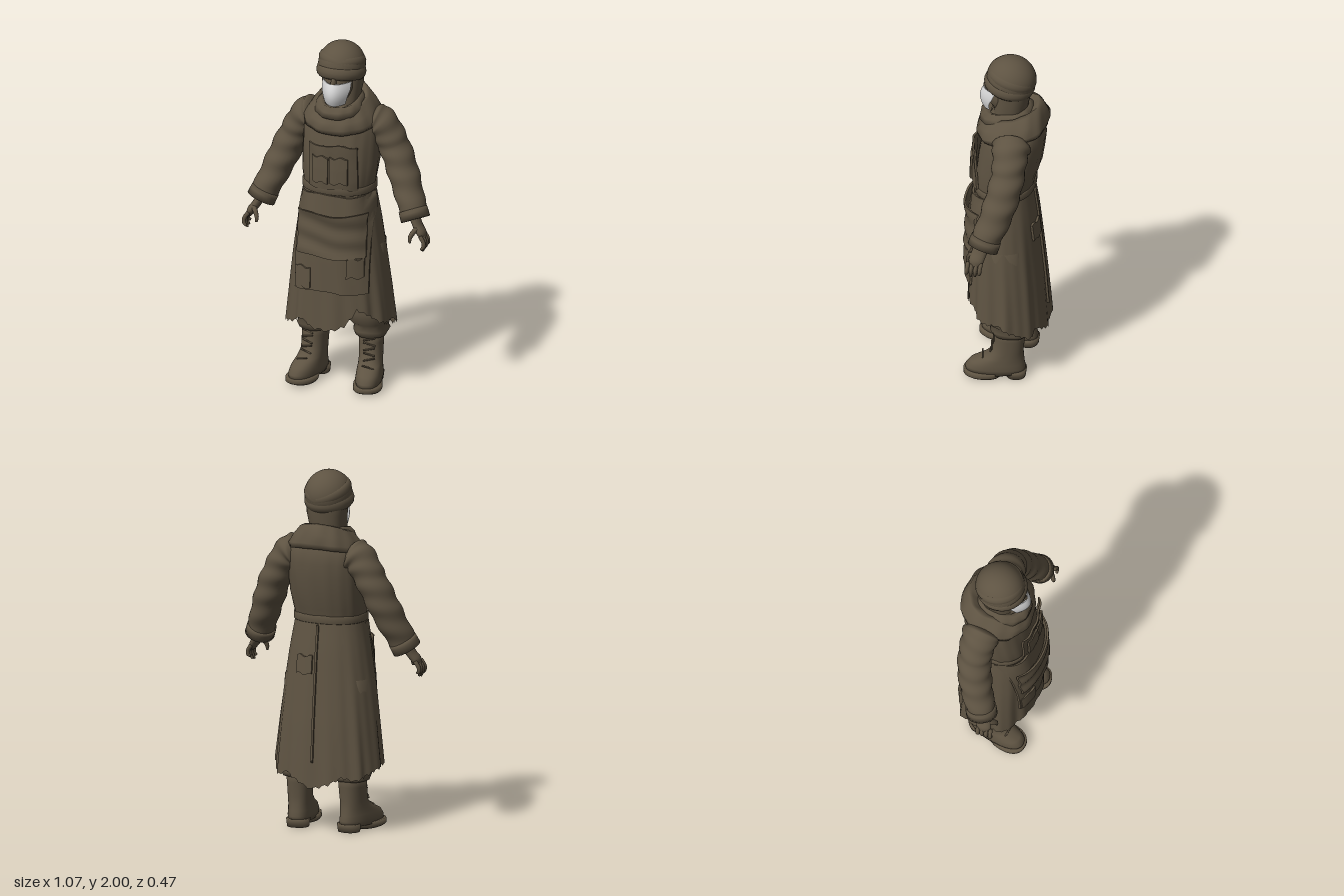
import * as THREE from 'three';

const N = 2.3; // roundness of the body cross-sections
const V = (x, y, z) => new THREE.Vector3(x, y, z);
const spow = (v, p) => Math.sign(v) * Math.abs(v) ** p;
const lerp = THREE.MathUtils.lerp;

// Skin closed rings of points into one smooth surface, optionally capped
function skin(rings, cap = false) {
  if (cap) {
    const mid = r => r.reduce((s, p) => s.add(p), V(0, 0, 0)).divideScalar(r.length);
    const a = mid(rings[0]), b = mid(rings[rings.length - 1]);
    rings = [rings[0].map(() => a), ...rings, rings[0].map(() => b)];
  }
  const n = rings[0].length, idx = [];
  for (let i = 0; i < rings.length - 1; i++) {
    for (let j = 0; j < n; j++) {
      const k = (j + 1) % n, a = i * n + j, b = i * n + k;
      idx.push(a, b, b + n, a, b + n, a + n);
    }
  }
  const g = new THREE.BufferGeometry().setFromPoints(rings.flat());
  g.setIndex(idx);
  g.computeVertexNormals();
  return g;
}

// Ring of [yFront, yBack, halfWidth, zFront, zBack]; angle 0 faces the front
function ring([yf, yb, rx, zf, zb], fold = () => 1, seg = 64) {
  return Array.from({ length: seg }, (_, j) => {
    const a = j / seg * Math.PI * 2, s = fold(a);
    const c = spow(Math.cos(a), 2 / N);
    return V(rx * s * spow(Math.sin(a), 2 / N), lerp(yb, yf, (Math.cos(a) + 1) / 2),
      (zf + zb) / 2 + (zf - zb) / 2 * c * s);
  });
}
const loft = (rows, cap, fold) => skin(rows.map((r, i) => ring(r, fold && (a => fold(a, i)))), cap);

// Limb along a smooth path, with radii spread over its length
function sweep(path, radii, { wide = 1, wrinkle = 0, rows = 16, seg = 16 } = {}) {
  const curve = new THREE.CatmullRomCurve3(path.map(p => V(...p)));
  return skin(Array.from({ length: rows + 1 }, (_, i) => {
    const t = i / rows, p = curve.getPoint(t), T = curve.getTangent(t);
    const u = V().crossVectors(T, V(0, 0, 1)).normalize(), v = V().crossVectors(T, u);
    const f = t * (radii.length - 1), k = Math.min(Math.floor(f), radii.length - 2);
    const r = lerp(radii[k], radii[k + 1], f - k);
    return Array.from({ length: seg }, (_, j) => {
      const a = j / seg * Math.PI * 2, s = r * (1 + wrinkle * Math.sin(t * 38 + 2.2 * Math.sin(a + 1)));
      return p.clone().addScaledVector(u, s * Math.cos(a)).addScaledVector(v, s * wide * Math.sin(a));
    });
  }), true);
}

// Coat outline: [y, halfWidth, zFront, zBack]
const BODY = [[0.24, 0.315, 0.215, -0.235], [0.4, 0.3, 0.21, -0.225], [0.6, 0.28, 0.203, -0.21],
  [0.8, 0.257, 0.197, -0.19], [1.0, 0.228, 0.185, -0.17], [1.18, 0.195, 0.165, -0.145],
  [1.24, 0.205, 0.168, -0.16], [1.32, 0.212, 0.162, -0.185], [1.42, 0.215, 0.15, -0.2],
  [1.5, 0.215, 0.135, -0.21], [1.57, 0.205, 0.12, -0.205], [1.63, 0.15, 0.09, -0.18], [1.67, 0.09, 0.06, -0.14]];
function bodyAt(y) {
  const i = THREE.MathUtils.clamp(BODY.findIndex(r => r[0] >= y), 1, BODY.length - 1);
  const t = (y - BODY[i - 1][0]) / (BODY[i][0] - BODY[i - 1][0]);
  return BODY[i].map((v, k) => lerp(BODY[i - 1][k], v, t));
}

// Cloth panel laid over the coat; lift(u, v) raises it off the surface
function panel(x0, x1, y0, y1, lift, back = false) {
  const g = new THREE.BoxGeometry(1, 1, 0.012, 20, 14, 1), p = g.attributes.position;
  for (let i = 0; i < p.count; i++) {
    const u = p.getX(i) + 0.5, v = p.getY(i) + 0.5, x = lerp(x0, x1, u);
    const y = lerp(y0, y1, v) + 0.006 * Math.sin(u * 9 + y0 * 7);
    const [, rx, zf, zb] = bodyAt(y), c = (zf + zb) / 2;
    const h = (zf - zb) / 2 * Math.max(0, 1 - Math.abs(x / rx) ** N) ** (1 / N);
    p.setXYZ(i, back ? -x : x, y, c + (back ? -1 : 1) * (h + lift(u, v) + p.getZ(i)));
  }
  // turned half way round, so the corner order stays right
  g.computeVertexNormals();
  return g;
}

// Hem height by angle, from the front round by the left side
const HEM = [0.37, 0.4, 0.5, 0.47, 0.42, 0.4, 0.4, 0.36, 0.33, 0.3, 0.33, 0.29, 0.25,
  0.28, 0.32, 0.3, 0.32, 0.34, 0.36, 0.36, 0.36, 0.38, 0.42, 0.37];
function skirt() {
  const seg = 120, rows = 16;
  return skin(Array.from({ length: rows + 1 }, (_, i) => Array.from({ length: seg }, (_, j) => {
    const t = i / rows, a = j / seg * Math.PI * 2, f = j / seg * HEM.length, k = Math.floor(f);
    const hem = lerp(HEM[k], HEM[(k + 1) % HEM.length], f - k) + 0.008 * Math.sin(j * 2.1);
    const y = lerp(hem, 1.18, t), [, rx, zf, zb] = bodyAt(y);
    const s = 1 + (1 - t) * (0.022 * Math.sin(a * 11 + 1) + 0.014 * Math.sin(a * 19 + 2 * t));
    return V(rx * s * spow(Math.sin(a), 2 / N), y, (zf + zb) / 2 + (zf - zb) / 2 * s * spow(Math.cos(a), 2 / N));
  })));
}

export function createModel() {
  const cloth = new THREE.MeshStandardMaterial({ color: 0x5e5342, side: THREE.DoubleSide });
  cloth.name = 'drab brown';
  const white = new THREE.MeshStandardMaterial({ color: 0xd6d6d6, side: THREE.DoubleSide });
  white.name = 'mask white';
  const model = new THREE.Group();
  const add = (name, geo, parent = model, mat = cloth) => {
    const m = new THREE.Mesh(geo, mat);
    m.name = name;
    parent.add(m);
    return m;
  };

  // Coat
  add('coatSkirt', skirt());
  add('coatTorso', loft(BODY.slice(5).map(([y, ...r]) => [y, y, ...r]), false,
    (a, i) => 1 + (i < 5 ? 0.012 * Math.sin(a * 9 + i) + 0.008 * Math.sin(a * 17) : 0)));
  add('belt', loft([[1.16, 1.16, 0.199, 0.17, -0.15], [1.165, 1.165, 0.206, 0.178, -0.157],
    [1.2, 1.2, 0.206, 0.18, -0.158], [1.205, 1.205, 0.198, 0.172, -0.15]]));
  add('backSeam', panel(-0.006, 0.006, 0.4, 1.15, () => 0.004, true));
  add('backPocket', panel(-0.12, -0.02, 0.88, 0.98, () => 0.008, true));

  // Apron with bib, pouch and patches
  add('apron', panel(-0.205, 0.22, 0.6, 1.16, (u, v) => 0.016 + 0.004 * Math.sin(u * 20 + v * 5)));
  add('apronPouch', panel(-0.19, 0.205, 0.81, 1.06, (u, v) => 0.03 + 0.018 * v ** 4 + 0.006 * Math.sin(v * 13 + u * 3)));
  add('patchRight', panel(-0.2, -0.1, 0.61, 0.73, () => 0.024));
  add('patchLeft', panel(0.11, 0.2, 0.7, 0.81, () => 0.03));
  add('bib', panel(-0.125, 0.15, 1.2, 1.455, (u, v) => 0.014 + 0.026 * v ** 2 + 0.004 * Math.sin(u * 16 + v * 6)));
  add('bibPocketRight', panel(-0.1, -0.005, 1.24, 1.39, (u, v) => 0.03 + 0.008 * v));
  add('bibPocketLeft', panel(0.005, 0.105, 1.24, 1.39, (u, v) => 0.03 + 0.008 * v));

  // Cowl, scarf and head wrap
  const crease = (a, i) => 1 + 0.025 * Math.sin(a * 5 + i * 1.3) + 0.012 * Math.sin(a * 11 - i);
  add('cowl', loft([[1.53, 1.6, 0.185, 0.12, -0.2], [1.51, 1.59, 0.205, 0.155, -0.225],
    [1.54, 1.62, 0.205, 0.168, -0.232], [1.575, 1.67, 0.175, 0.155, -0.215], [1.61, 1.72, 0.14, 0.13, -0.195],
    [1.62, 1.725, 0.125, 0.115, -0.175], [1.6, 1.66, 0.1, 0.09, -0.12]], false, crease));
  add('scarf', loft([[1.58, 1.62, 0.12, 0.11, -0.13], [1.6, 1.66, 0.135, 0.15, -0.15],
    [1.635, 1.69, 0.125, 0.148, -0.14], [1.66, 1.71, 0.105, 0.12, -0.115], [1.65, 1.7, 0.085, 0.09, -0.09]], false, crease));
  add('neckWrap', loft([[1.6, 1.6, 0.09, 0.08, -0.1], [1.68, 1.68, 0.1, 0.07, -0.11],
    [1.76, 1.76, 0.112, 0.055, -0.13], [1.86, 1.83, 0.118, 0.06, -0.135]], false, (a, i) => 1 + 0.03 * Math.sin(a * 6 + i * 2)));

  const turban = new THREE.Group();
  turban.name = 'turban';
  turban.position.set(0, 1.868, -0.022);
  turban.rotation.x = -0.3;
  model.add(turban);
  add('turbanDome', new THREE.SphereGeometry(1, 40, 24, 0, Math.PI * 2, 0, Math.PI * 0.62), turban).scale.set(0.13, 0.13, 0.138);
  [[-0.035, 0.1, 0, 0.026], [0.005, 0, 0.22, 0.022], [0.012, 0, -0.24, 0.022]].forEach(([y, rx, rz, r], i) => {
    const band = add('turbanBand' + (i + 1), new THREE.TorusGeometry(0.111, r, 10, 48).rotateX(Math.PI / 2).scale(1, 1.5, 1.04), turban);
    band.position.y = y;
    band.rotation.set(rx, 0, rz);
  });

  // Face
  const blob = (name, p, s) => {
    const m = add(name, new THREE.SphereGeometry(1, 24, 16));
    m.position.set(...p);
    m.scale.set(...s);
  };
  blob('face', [0, 1.775, 0.01], [0.085, 0.125, 0.105]);
  blob('nose', [0, 1.8, 0.115], [0.016, 0.035, 0.02]);
  for (const s of [-1, 1]) {
    blob('eye', [s * 0.035, 1.825, 0.094], [0.02, 0.012, 0.012]);
    blob('brow', [s * 0.036, 1.85, 0.094], [0.034, 0.011, 0.016]);
  }

  // Mask bowed around the face, narrower at the chin
  const mask = new THREE.BoxGeometry(0.164, 0.115, 0.006, 20, 12, 1), mp = mask.attributes.position;
  for (let i = 0; i < mp.count; i++) {
    const v = mp.getY(i) / 0.115 + 0.5, x = mp.getX(i) * (0.72 + 0.28 * Math.min(1, v * 1.6));
    const y = 1.685 + v * 0.115 - (1 - (x / 0.082) ** 2) * 0.015 * (1 - v);
    mp.setXYZ(i, x, y, 0.118 + 0.033 * Math.sin(Math.PI * (0.12 + 0.75 * v)) - 11.5 * x * x + mp.getZ(i));
  }
  mask.computeVertexNormals();
  add('mask', mask, model, white);

  // Arms, hands, legs and boots; the right side mirrors the left
  for (const side of [1, -1]) {
    const limbs = new THREE.Group();
    limbs.name = side > 0 ? 'leftLimbs' : 'rightLimbs';
    limbs.scale.x = side;
    model.add(limbs);
    add('sleeve', sweep([[0.15, 1.55, -0.06], [0.215, 1.52, -0.065], [0.29, 1.4, -0.065], [0.365, 1.23, -0.03], [0.445, 1.04, 0.035]],
      [0.06, 0.1, 0.093, 0.087, 0.085, 0.086, 0.084, 0.078, 0.074], { wide: 1.08, wrinkle: 0.045, rows: 48, seg: 28 }), limbs);
    add('cuff', sweep([[0.428, 1.08, 0.022], [0.45, 1.028, 0.038]], [0.079, 0.081], { wide: 1.08, rows: 2, seg: 28 }), limbs);
    add('palm', sweep([[0.44, 1.06, 0.04], [0.47, 1.0, 0.055], [0.495, 0.965, 0.066], [0.508, 0.935, 0.07]],
      [0.026, 0.024, 0.024, 0.014], { wide: 1.75 }), limbs);
    for (let k = 0; k < 4; k++) {
      const z = 0.036 + k * 0.024, low = [0.895, 0.875, 0.87, 0.885][k];
      add('finger', sweep([[0.5, 0.96, z], [0.522, 0.925, z + 0.003], [0.521, 0.9, z + 0.005], [0.508, low, z + 0.008]],
        [0.012, 0.012, 0.011, 0.007], { rows: 8, seg: 8 }), limbs);
    }
    add('thumb', sweep([[0.475, 0.995, 0.085], [0.455, 0.97, 0.11], [0.445, 0.945, 0.12], [0.446, 0.92, 0.123]],
      [0.015, 0.014, 0.012, 0.007], { rows: 8, seg: 8 }), limbs);

    const trousers = add('trouserLeg', loft([[0.29, 0.29, 0.065, 0.03, -0.13], [0.285, 0.285, 0.085, 0.045, -0.145],
      [0.32, 0.31, 0.098, 0.06, -0.152], [0.345, 0.34, 0.088, 0.05, -0.14], [0.37, 0.37, 0.108, 0.075, -0.152],
      [0.44, 0.44, 0.112, 0.1, -0.15], [0.6, 0.6, 0.1, 0.09, -0.14], [0.85, 0.85, 0.09, 0.09, -0.12]], true,
    (a, i) => 1 + 0.03 * Math.sin(a * 5 + i * 2)), limbs);
    trousers.position.x = 0.162;

    const boot = new THREE.Group();
    boot.name = 'boot';
    boot.position.set(0.172, 0, 0);
    boot.rotation.y = 0.2;
    limbs.add(boot);
    add('bootUpper', loft([[0.03, 0.03, 0.07, 0.19, -0.135], [0.065, 0.06, 0.074, 0.193, -0.138], [0.1, 0.09, 0.07, 0.165, -0.132],
      [0.128, 0.13, 0.066, 0.1, -0.128], [0.16, 0.17, 0.065, 0.05, -0.126], [0.25, 0.25, 0.068, 0.034, -0.134],
      [0.315, 0.315, 0.073, 0.035, -0.14]], true), boot);
    add('soleFront', loft([[0.012, 0, 0.072, 0.19, 0.0], [0.02, 0.01, 0.079, 0.203, -0.01], [0.045, 0.04, 0.079, 0.203, -0.03]], true), boot);
    add('heel', loft([[0, 0, 0.06, -0.03, -0.138], [0.045, 0.045, 0.066, -0.02, -0.144]], true), boot);
    add('bootRim', loft([[0.295, 0.295, 0.07, 0.032, -0.136], [0.3, 0.3, 0.078, 0.042, -0.146], [0.32, 0.32, 0.076, 0.04, -0.144]], true), boot);
    for (let k = 0; k < 6; k++) {
      const lace = add('lace', new THREE.CapsuleGeometry(0.005, 0.06, 3, 6), boot);
      lace.position.set(0, 0.135 + k * 0.028, [0.098, 0.055, 0.048, 0.042, 0.038, 0.036][k]);
      lace.rotation.z = Math.PI / 2 + (k % 2 ? 0.25 : -0.25);
    }
  }
  return model;
}
